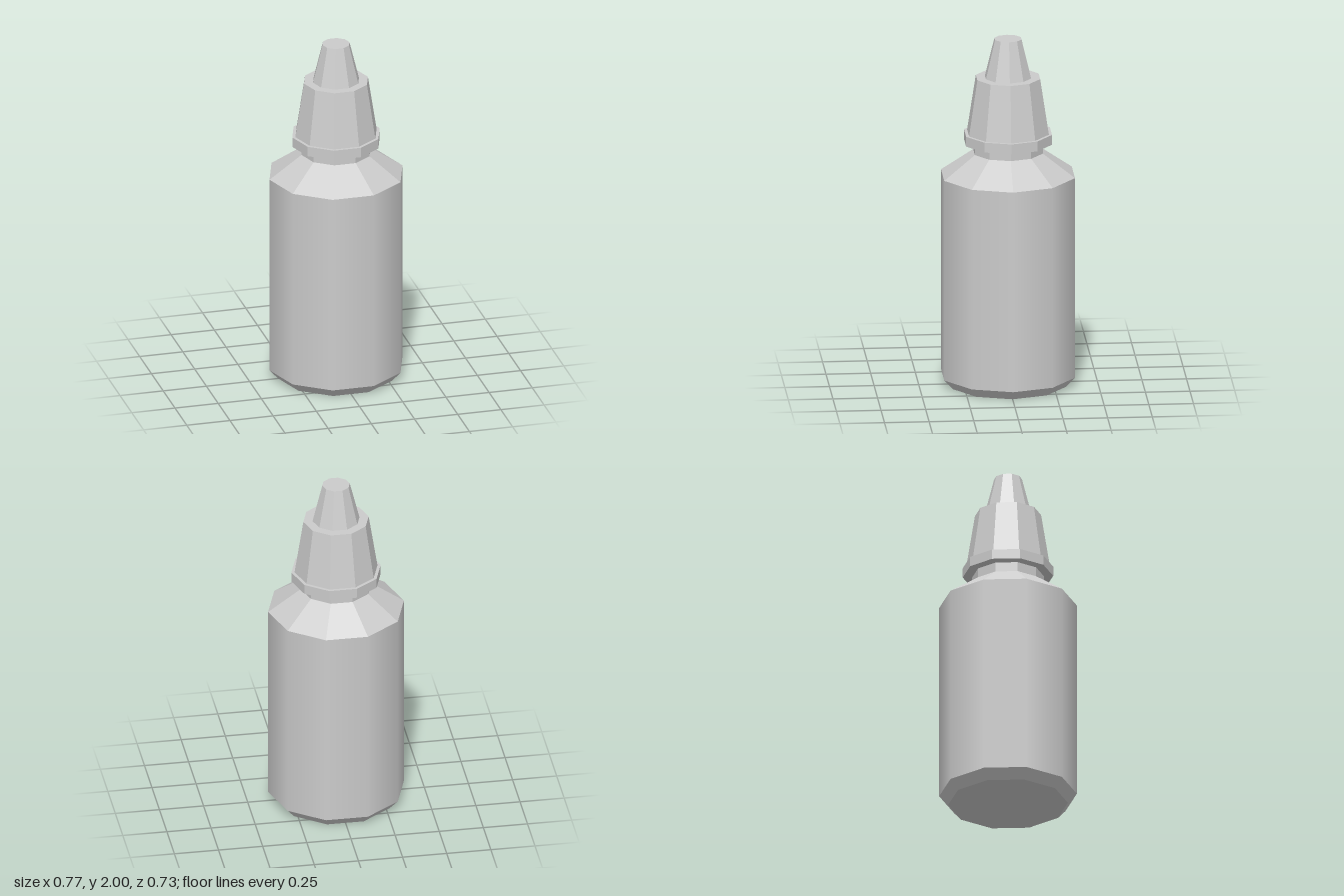
import * as THREE from 'three';

const SIDES = 10;

// Ten-sided turned part from a [radius, height] profile, listed bottom to top
function turned(name, profile, flatShading = true) {
  const points = profile.map(([r, y]) => new THREE.Vector2(r, y));
  const geometry = new THREE.LatheGeometry(points, SIDES, Math.PI / 2);
  const material = new THREE.MeshStandardMaterial({ color: 0xcccccc, flatShading });
  const mesh = new THREE.Mesh(geometry, material);
  mesh.name = name;
  return mesh;
}

export function createModel() {
  const bottle = new THREE.Group();
  bottle.name = 'dropperBottle';

  // Bottle: chamfered base, smooth wall, sloping shoulder and neck
  bottle.add(
    turned('base', [[0, 0], [0.335, 0], [0.385, 0.055]]),
    turned('bodyWall', [[0.385, 0.055], [0.385, 1.215]], false),
    turned('shoulder', [[0.385, 1.215], [0.2, 1.345]]),
    turned('neck', [[0.2, 1.345], [0.2, 1.4]]),
  );

  // Cap: collar ring, tapered grip and dropper tip
  bottle.add(
    turned('collar', [[0.2, 1.4], [0.253, 1.4], [0.253, 1.457], [0.235, 1.457]]),
    turned('cap', [[0.235, 1.457], [0.185, 1.777], [0.133, 1.777]]),
    turned('tip', [[0.133, 1.777], [0.078, 2], [0, 2]]),
  );

  return bottle;
}
